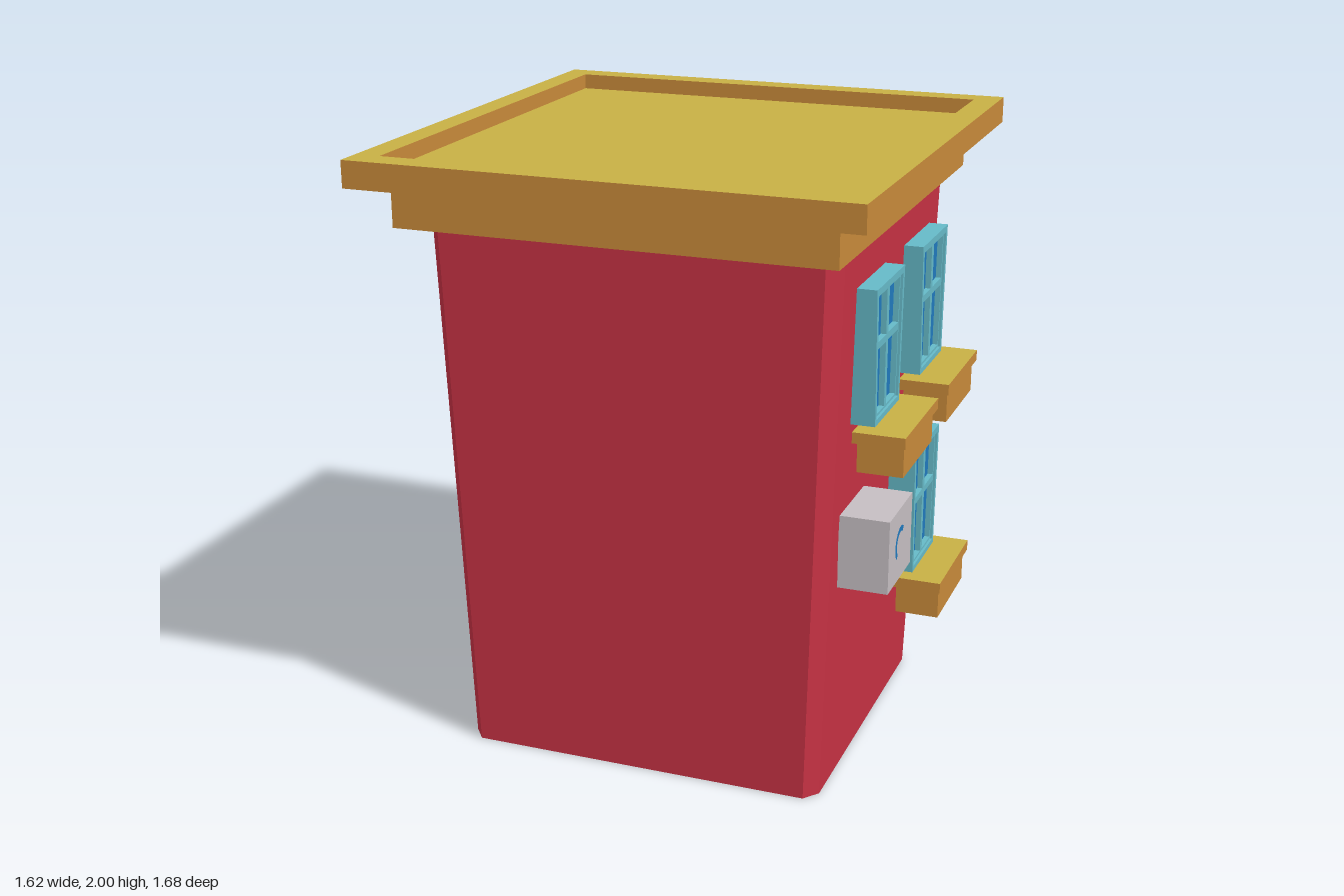
import * as THREE from 'three';

const paint = (name, color) => {
  const m = new THREE.MeshStandardMaterial({ color });
  m.name = name;
  return m;
};

export function createModel() {
  const red = paint('wall red', 0xc83244);
  const orange = paint('trim orange', 0xc88a3a);
  const olive = paint('top olive', 0xc8b045);
  const teal = paint('frame teal', 0x66bac8);
  const blue = paint('glass blue', 0x2079bd);
  const grey = paint('casing grey', 0xc5bec2);
  const tan = paint('door frame tan', 0xc8935f);
  const brown = paint('door brown', 0x64430f);
  const trim = [orange, orange, olive, orange, orange, orange]; // olive upper face

  const house = new THREE.Group();
  house.name = 'house';

  const add = (parent, name, geometry, material) => {
    const mesh = new THREE.Mesh(geometry, material);
    mesh.name = name;
    parent.add(mesh);
    return mesh;
  };
  // Box given by its limits
  const box = (parent, name, material, x0, x1, y0, y1, z0, z1) => {
    const mesh = add(parent, name, new THREE.BoxGeometry(x1 - x0, y1 - y0, z1 - z0), material);
    mesh.position.set((x0 + x1) / 2, (y0 + y1) / 2, (z0 + z1) / 2);
    return mesh;
  };
  const polygon = (points, Type = THREE.Shape) => new Type(points.map(p => new THREE.Vector2(...p)));
  const extrude = (shape, depth) => new THREE.ExtrudeGeometry(shape, { depth, bevelEnabled: false });
  // Group on a wall: local +z points out of the wall, x runs to the viewer's right
  const onWall = (name, angle, x, y, z) => {
    const g = new THREE.Group();
    g.name = name;
    g.rotation.y = angle;
    g.position.set(x, y, z);
    house.add(g);
    return g;
  };
  const SIDE = Math.PI / 2, BACK = Math.PI;

  // Walls: chamfered block widening upwards
  const cx = 0.935, cz = 0.91;
  const walls = extrude(polygon([[-cx, -1], [cx, -1], [1, -cz], [1, cz], [cx, 1], [-cx, 1], [-1, cz], [-1, -cz]]), 1);
  walls.rotateX(-Math.PI / 2);
  const p = walls.attributes.position;
  for (let i = 0; i < p.count; i++) {
    const t = p.getY(i);
    p.setXYZ(i, -0.018 + p.getX(i) * (0.602 + 0.062 * t), t * 1.92, p.getZ(i) * (0.555 + 0.054 * t));
  }
  walls.computeVertexNormals();
  add(house, 'walls', walls, red);

  // Cornice and roof with a raised rim
  box(house, 'lowerCornice', trim, -0.715, 0.675, 1.78, 1.905, -0.73, 0.73);
  box(house, 'roofFloor', trim, -0.735, 0.695, 1.915, 1.95, -0.755, 0.75);
  box(house, 'roofRimRight', trim, -0.815, -0.735, 1.915, 2, -0.838, 0.838);
  box(house, 'roofRimLeft', trim, 0.695, 0.78, 1.915, 2, -0.838, 0.838);
  box(house, 'roofRimBack', trim, -0.735, 0.695, 1.915, 2, -0.838, -0.755);
  box(house, 'roofRimFront', trim, -0.735, 0.695, 1.915, 2, 0.75, 0.838);

  // Window narrowing downwards; its front plane is local z = 0
  const addWindow = (name, angle, x, y, z, w, columns, taper, depth) => {
    const h = 0.43, g = onWall(name, angle, x, y, z);
    const quad = (x0, x1, y0, y1, Type) => polygon(
      [[x0, y0], [x1, y0], [x1, y1], [x0, y1]].map(([a, b]) => [a * (taper + (1 - taper) * b / h), b]), Type);
    const iw = w / 2 - 0.018, lo = 0.018, hi = h - 0.022;
    const frame = quad(-w / 2, w / 2, 0, h);
    frame.holes.push(quad(-iw, iw, lo, hi, THREE.Path));
    add(g, 'windowFrame', extrude(frame, depth), teal).position.z = -depth;

    const bars = quad(-iw, iw, lo, hi);
    const rows = [[lo + 0.008, 0.232], [0.255, hi - 0.01]];
    const step = 2 * iw / columns;
    for (let c = 0; c < columns; c++) {
      const a = -iw + c * step + (c ? 0.013 : 0.007);
      const b = -iw + (c + 1) * step - (c < columns - 1 ? 0.013 : 0.007);
      rows.forEach(([r0, r1]) => bars.holes.push(quad(a, b, r0, r1, THREE.Path)));
    }
    add(g, 'windowBars', extrude(bars, 0.018), teal).position.z = -0.026;
    add(g, 'windowGlass', new THREE.ShapeGeometry(quad(-iw, iw, lo, hi)), blue).position.z = -0.027;
  };
  addWindow('upperFrontWindow', SIDE, 0.7, 1.213, 0.26, 0.31, 2, 0.88, 0.09);
  addWindow('upperBackWindow', SIDE, 0.7, 1.213, -0.277, 0.318, 2, 0.88, 0.09);
  addWindow('lowerBackWindow', SIDE, 0.7, 0.515, -0.277, 0.318, 2, 0.88, 0.11);
  addWindow('wideBackWindow', BACK, -0.045, 1.213, -0.643, 0.63, 4, 0.95, 0.055);

  // Sills with a planter block below
  for (const [y, z] of [[1.21, 0.257], [1.21, -0.275], [0.515, -0.275]]) {
    box(house, 'sill', trim, 0.645, 0.81, y - 0.035, y, z - 0.197, z + 0.197);
    box(house, 'sillBlock', trim, 0.655, 0.8, y - 0.135, y - 0.035, z - 0.172, z + 0.172);
  }
  box(house, 'wideSill', trim, -0.39, 0.3, 1.175, 1.21, -0.73, -0.575);
  box(house, 'wideSillBlock', trim, -0.365, 0.275, 1.075, 1.175, -0.72, -0.585);

  // Air conditioners: casing, feet and fan
  const addCooler = (name, angle, x, y, z, fan) => {
    const g = onWall(name, angle, x, y, z);
    box(g, 'casing', grey, -0.132, 0.132, 0, 0.238, -0.16, 0);
    for (const s of [-0.072, 0.036]) box(g, 'foot', blue, s, s + 0.076, -0.022, 0, -0.105, -0.032);
    fan(g);
  };
  addCooler('sideCooler', SIDE, 0.772, 0.7, 0.325, g => {
    add(g, 'fanArc', new THREE.RingGeometry(0.04, 0.058, 20, 1, Math.PI * 0.3, Math.PI * 0.95), blue)
      .position.set(-0.005, 0.12, 0.002);
  });
  addCooler('backCooler', BACK, 0.352, 0.718, -0.745, g => {
    add(g, 'fanRing', new THREE.RingGeometry(0.062, 0.08, 24), blue).position.set(0, 0.12, 0.002);
    add(g, 'fanHub', new THREE.CircleGeometry(0.022, 16), blue).position.set(0, 0.12, 0.002);
    for (let i = 0; i < 4; i++) {
      add(g, 'fanBlade', new THREE.RingGeometry(0.022, 0.062, 8, 1, i * Math.PI / 2, 1.1), blue)
        .position.set(0, 0.12, 0.002);
    }
  });

  // Back door
  const door = onWall('door', BACK, -0.052, 0, -0.592);
  box(door, 'leftJamb', tan, -0.218, -0.14, 0, 0.455, -0.06, 0);
  box(door, 'rightJamb', tan, 0.14, 0.218, 0, 0.455, -0.06, 0);
  box(door, 'lintel', tan, -0.222, 0.222, 0.455, 0.528, -0.06, 0.002);
  box(door, 'doorLeaf', brown, -0.14, 0.14, 0, 0.455, -0.06, -0.02);
  add(door, 'doorKnob', new THREE.SphereGeometry(0.014, 12, 8), orange).position.set(0.105, 0.25, -0.01);

  return house;
}
